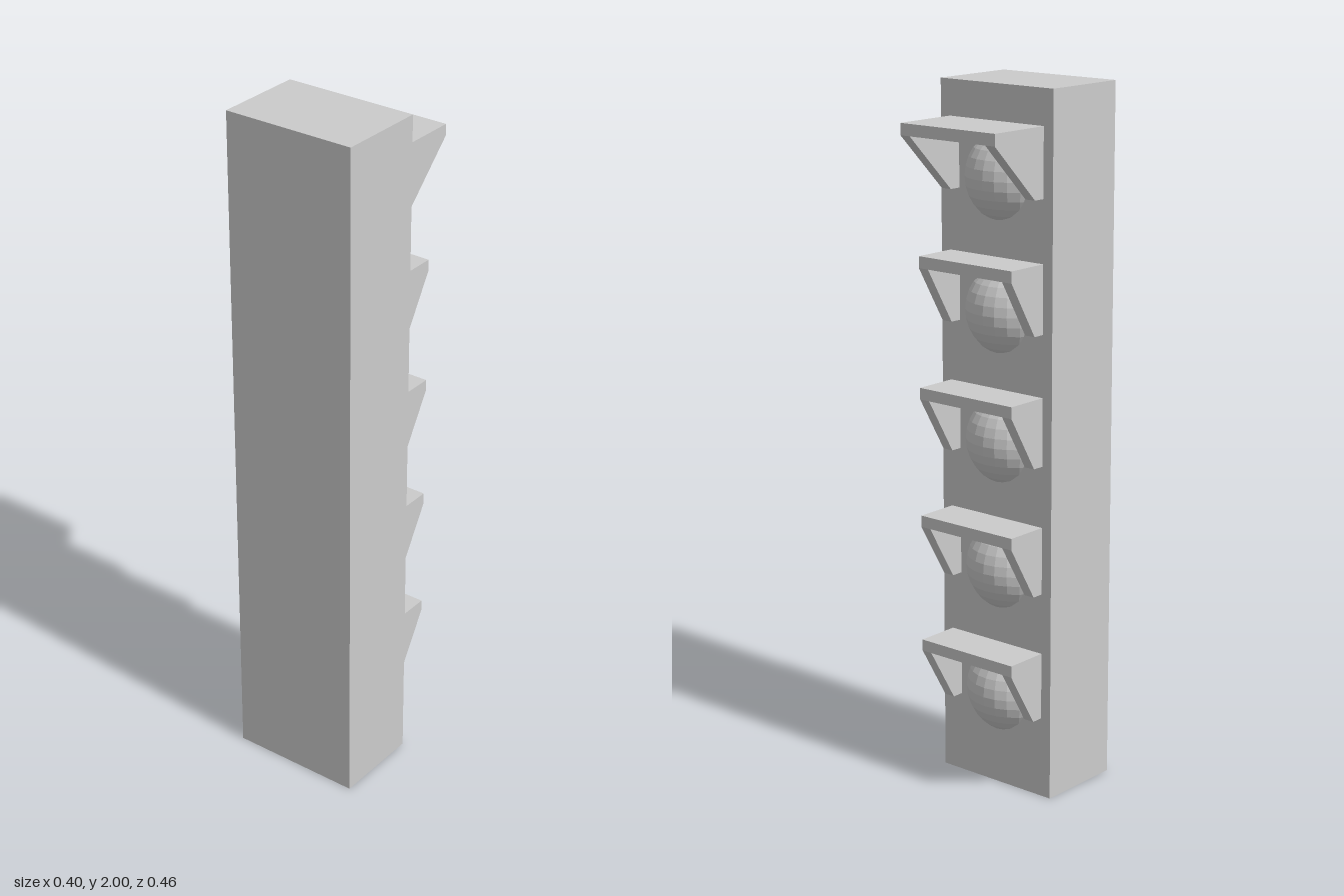
import * as THREE from 'three';

const BACK = -0.033; // z of the post's rear face
const HALF = 0.165; // half width of a hood
const WALL = 0.033; // hood plate thickness
const DROP = 0.193; // hood height

const material = new THREE.MeshStandardMaterial({ color: 0xcccccc, flatShading: true });

function addMesh(parent, name, geometry, x = 0, y = 0, z = 0) {
  const mesh = new THREE.Mesh(geometry, material);
  mesh.name = name;
  mesh.position.set(x, y, z);
  parent.add(mesh);
}

// Tapered cheek plate: outline in (z, y) with its top at y = 0, extruded along x
function cheekGeometry(frontZ) {
  const outline = [
    [BACK, 0], [frontZ, 0], [frontZ, -WALL], [-0.068, -DROP], [BACK, -DROP],
  ].map(([z, y]) => new THREE.Vector2(-z, y));
  const geometry = new THREE.ExtrudeGeometry(new THREE.Shape(outline), { depth: WALL, bevelEnabled: false });
  return geometry.rotateY(Math.PI / 2).translate(-WALL / 2, 0, 0);
}

// One lamp: domed lens under a three-sided hood
function createLamp(frontZ) {
  const lamp = new THREE.Group();
  const depth = BACK - frontZ;
  addMesh(lamp, 'hoodTop', new THREE.BoxGeometry(2 * (HALF - WALL), WALL, depth),
    0, -WALL / 2, (BACK + frontZ) / 2);
  const cheek = cheekGeometry(frontZ);
  addMesh(lamp, 'hoodCheekLeft', cheek, HALF - WALL / 2);
  addMesh(lamp, 'hoodCheekRight', cheek, -HALF + WALL / 2);
  // Rear half of a sphere sunk into the post
  addMesh(lamp, 'lens', new THREE.SphereGeometry(0.14, 12, 16, Math.PI, Math.PI), 0, -0.155, 0.05);
  return lamp;
}

export function createModel() {
  const model = new THREE.Group();
  model.name = 'signalPost';

  addMesh(model, 'post', new THREE.BoxGeometry(0.395, 2, 0.23 - BACK), 0, 1, (0.23 + BACK) / 2);

  // Five lamps down the rear face; the top one has a deeper hood
  for (let i = 0; i < 5; i++) {
    const lamp = createLamp(i === 0 ? -0.23 : -0.163);
    lamp.name = `lamp${i + 1}`;
    lamp.position.y = 1.9 - i * 0.368;
    model.add(lamp);
  }
  return model;
}
